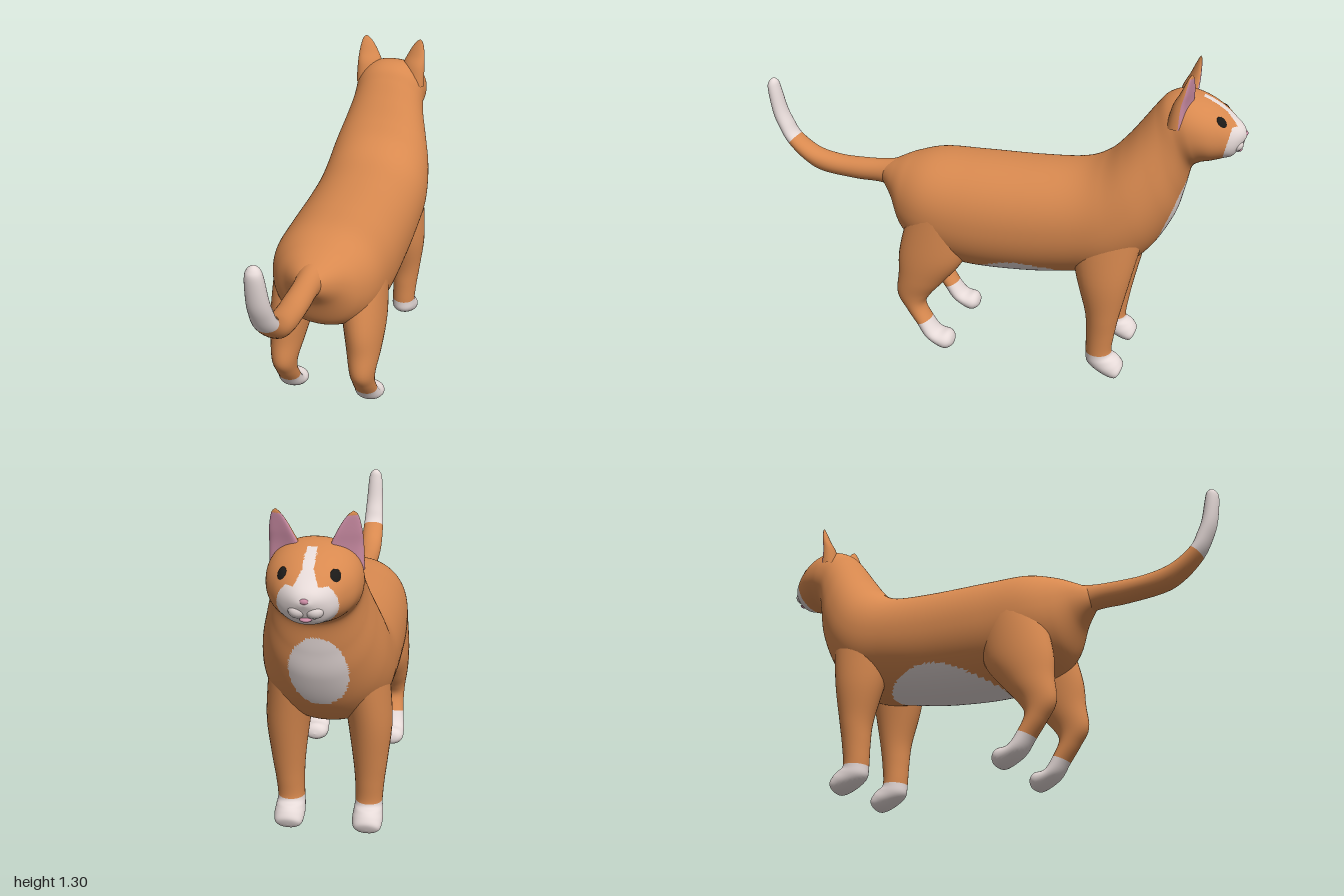
import * as THREE from 'three';

const mat = (name, color) => {
  const m = new THREE.MeshStandardMaterial({ color });
  m.name = name;
  return m;
};

// Each station is [zA, yA, zB, yB, centreX, halfWidth]: two opposite outline points
// of an oval ring. Rings are blended smoothly from station to station.
function loft(name, stations, materials, o = {}) {
  const { steps = 6, sides = 32, power = 2, mirror = 1, rule = () => 0, warp } = o;
  const at = (u, k) => {
    const i = Math.min(Math.floor(u), stations.length - 2), t = u - i;
    const s = (j) => stations[Math.max(0, Math.min(stations.length - 1, j))][k];
    const p0 = s(i - 1), p1 = s(i), p2 = s(i + 1), p3 = s(i + 2);
    return p1 + 0.5 * t * (p2 - p0 + t * (2 * p0 - 5 * p1 + 4 * p2 - p3 + t * (3 * (p1 - p2) + p3 - p0)));
  };
  const spow = (v) => Math.sign(v) * Math.abs(v) ** (2 / power);
  const rows = (stations.length - 1) * steps, pts = [];
  for (let r = 0; r <= rows; r++) {
    const [za, ya, zb, yb, cx, w] = [0, 1, 2, 3, 4, 5].map((k) => at(r / steps, k));
    for (let c = 0; c < sides; c++) {
      const a = (c / sides) * Math.PI * 2, s = spow(Math.sin(a)), q = spow(Math.cos(a));
      const p = new THREE.Vector3(cx + w * s, (ya + yb + (ya - yb) * q) / 2, (za + zb + (za - zb) * q) / 2);
      if (warp) warp(p, s, q);
      p.x *= mirror;
      pts.push(p);
    }
  }
  // Sort the triangles by colour and measure the volume to know which way they face
  const lists = materials.map(() => []), mid = new THREE.Vector3(), cross = new THREE.Vector3();
  let volume = 0;
  for (let r = 0; r < rows; r++) for (let c = 0; c < sides; c++) {
    const d = (c + 1) % sides, a = r * sides + c, b = r * sides + d;
    for (const t of [[a, b, a + sides], [b, b + sides, a + sides]]) {
      const [p, q, s] = t.map((i) => pts[i]);
      volume += p.dot(cross.crossVectors(q, s));
      mid.copy(p).add(q).add(s).divideScalar(3);
      lists[rule(mid, (r + 0.5) / steps, ((c + 0.5) / sides) * Math.PI * 2)].push(t);
    }
  }
  const geo = new THREE.BufferGeometry().setFromPoints(pts), index = [];
  lists.forEach((list, m) => {
    geo.addGroup(index.length, list.length * 3, m);
    for (const [a, b, c] of list) index.push(...(volume < 0 ? [a, c, b] : [a, b, c]));
  });
  geo.setIndex(index);
  geo.computeVertexNormals();
  const mesh = new THREE.Mesh(geo, materials);
  mesh.name = name;
  return mesh;
}

function blob(name, material, pos, size, normal) {
  const mesh = new THREE.Mesh(new THREE.SphereGeometry(1, 24, 16), material);
  mesh.name = name;
  mesh.position.set(...pos);
  mesh.scale.set(...size);
  if (normal) mesh.quaternion.setFromUnitVectors(new THREE.Vector3(0, 0, 1), new THREE.Vector3(...normal).normalize());
  return mesh;
}

export function createModel() {
  const cat = new THREE.Group();
  cat.name = 'cat';
  const orange = mat('orange fur', 0xd8894f);
  const white = mat('white fur', 0xe6dad8);
  const pink = mat('pink skin', 0xcb8ca4);
  const black = mat('black eye', 0x1c1a18);
  const fur = [orange, white];

  // Body, neck and head in one sweep, from the rump to the nose
  const body = [
    [0.47, 0.75, 0.47, 0.67, 0, 0.042], [0.40, 0.785, 0.41, 0.60, 0, 0.11],
    [0.33, 0.815, 0.35, 0.48, 0, 0.175], [0.22, 0.843, 0.25, 0.42, 0, 0.222],
    [0.05, 0.85, 0.08, 0.375, 0, 0.238], [-0.20, 0.858, -0.18, 0.385, 0, 0.24],
    [-0.38, 0.875, -0.40, 0.42, 0, 0.24], [-0.48, 0.92, -0.56, 0.455, 0, 0.238],
    [-0.55, 0.99, -0.68, 0.56, 0, 0.222], [-0.61, 1.07, -0.76, 0.70, 0, 0.19],
    [-0.66, 1.14, -0.79, 0.81, 0, 0.166], [-0.70, 1.185, -0.81, 0.91, 0, 0.157],
    [-0.76, 1.205, -0.84, 0.942, 0, 0.16], [-0.83, 1.192, -0.885, 0.955, 0, 0.146],
    [-0.90, 1.158, -0.925, 0.967, 0, 0.114], [-0.95, 1.118, -0.952, 0.975, 0, 0.083],
    [-0.982, 1.09, -0.972, 1.0, 0, 0.052], [-0.995, 1.065, -0.99, 1.035, 0, 0.022],
    [-0.997, 1.05, -0.997, 1.05, 0, 0],
  ];
  const oval = (a, b) => a * a + b * b < 1;
  cat.add(loft('body', body, fur, {
    steps: 12, sides: 128, power: 2.15,
    rule: (p) => {
      const belly = p.y < 0.52 && oval((p.z + 0.17) / 0.26, p.x / 0.2);
      const chest = p.z < -0.6 && oval((p.y - 0.725) / 0.145, p.x / 0.105);
      const muzzle = p.z < -0.942 + (1.085 - p.y) * 0.2 && p.y < 1.1;
      const blaze = p.z < -0.83 && p.y > 1.04 && Math.abs(p.x) < 0.018 + Math.max(0, -p.z - 0.92) * 0.5;
      return belly || chest || muzzle || blaze ? 1 : 0;
    },
  }));

  // Upturned tail with a white tip
  cat.add(loft('tail', [
    [0.36, 0.62, 0.36, 0.79, 0, 0.07], [0.47, 0.662, 0.47, 0.768, 0, 0.05],
    [0.60, 0.665, 0.58, 0.76, 0, 0.05], [0.76, 0.68, 0.68, 0.76, 0, 0.05],
    [0.84, 0.72, 0.786, 0.78, 0, 0.05], [0.914, 0.79, 0.87, 0.835, 0, 0.047],
    [0.957, 0.86, 0.902, 0.89, 0, 0.043], [0.984, 0.93, 0.925, 0.945, 0, 0.039],
    [1.0, 1.03, 0.945, 1.03, 0, 0.032], [0.992, 1.063, 0.955, 1.063, 0, 0.021],
    [0.973, 1.078, 0.973, 1.078, 0, 0],
  ], fur, { rule: (p, u) => (u > 5 ? 1 : 0) }));

  const frontLeg = [
    [-0.37, 0.64, -0.67, 0.66, 0.13, 0.09], [-0.415, 0.45, -0.63, 0.46, 0.152, 0.083],
    [-0.457, 0.30, -0.597, 0.30, 0.155, 0.066], [-0.465, 0.20, -0.58, 0.20, 0.153, 0.056],
    [-0.467, 0.11, -0.572, 0.115, 0.15, 0.052], [-0.475, 0.06, -0.598, 0.095, 0.15, 0.056],
    [-0.53, 0.022, -0.613, 0.078, 0.15, 0.058], [-0.59, 0.004, -0.622, 0.055, 0.15, 0.046],
    [-0.612, 0.025, -0.612, 0.025, 0.15, 0],
  ];
  const hindLeg = [
    [0.29, 0.68, 0.02, 0.62, 0.125, 0.105], [0.343, 0.46, 0.06, 0.44, 0.152, 0.087],
    [0.35, 0.34, 0.15, 0.32, 0.162, 0.07], [0.357, 0.24, 0.21, 0.25, 0.166, 0.054],
    [0.315, 0.17, 0.234, 0.20, 0.167, 0.048], [0.27, 0.11, 0.206, 0.138, 0.168, 0.049],
    [0.225, 0.05, 0.17, 0.09, 0.17, 0.054], [0.15, 0.008, 0.13, 0.085, 0.17, 0.055],
    [0.113, 0.02, 0.112, 0.07, 0.17, 0.036], [0.104, 0.045, 0.104, 0.045, 0.17, 0],
  ];
  const ear = [
    [-0.715, 1.10, -0.82, 1.10, 0.10, 0.058], [-0.733, 1.18, -0.81, 1.18, 0.102, 0.053],
    [-0.76, 1.23, -0.808, 1.23, 0.111, 0.041], [-0.779, 1.27, -0.805, 1.27, 0.119, 0.026],
    [-0.79, 1.292, -0.802, 1.292, 0.124, 0.013], [-0.796, 1.302, -0.796, 1.302, 0.125, 0],
  ];

  for (const [side, mirror] of [['left', 1], ['right', -1]]) {
    // Legs with white paws
    cat.add(loft(side + 'FrontLeg', frontLeg, fur, { mirror, rule: (p, u) => (u > 4 ? 1 : 0) }));
    cat.add(loft(side + 'HindLeg', hindLeg, fur, { mirror, rule: (p, u) => (u > 5 ? 1 : 0) }));
    // Ear turned slightly outward, hollowed and pink on its front
    cat.add(loft(side + 'Ear', ear, [orange, pink], {
      mirror,
      warp: (p, s, q) => {
        p.z += (p.x - 0.11) * 0.3;
        if (q < 0) p.z += 0.25 * q * q * Math.max(0, 1.3 - p.y) * 0.8;
      },
      rule: (p, u, a) => (p.y < 1.288 && Math.cos(a) < -0.25 ? 1 : 0),
    }));
    // Eye and whisker pad
    cat.add(blob(side + 'Eye', black, [mirror * 0.083, 1.118, -0.906], [0.027, 0.021, 0.012], [mirror * 0.62, 0.45, -0.65]));
    cat.add(blob(side + 'WhiskerPad', white, [mirror * 0.026, 1.025, -0.96], [0.032, 0.027, 0.03]));
  }

  // Nose and mouth
  cat.add(blob('nose', pink, [0, 1.062, -0.988], [0.016, 0.011, 0.012]));
  cat.add(blob('mouth', pink, [0, 0.997, -0.968], [0.02, 0.008, 0.018]));
  return cat;
}
